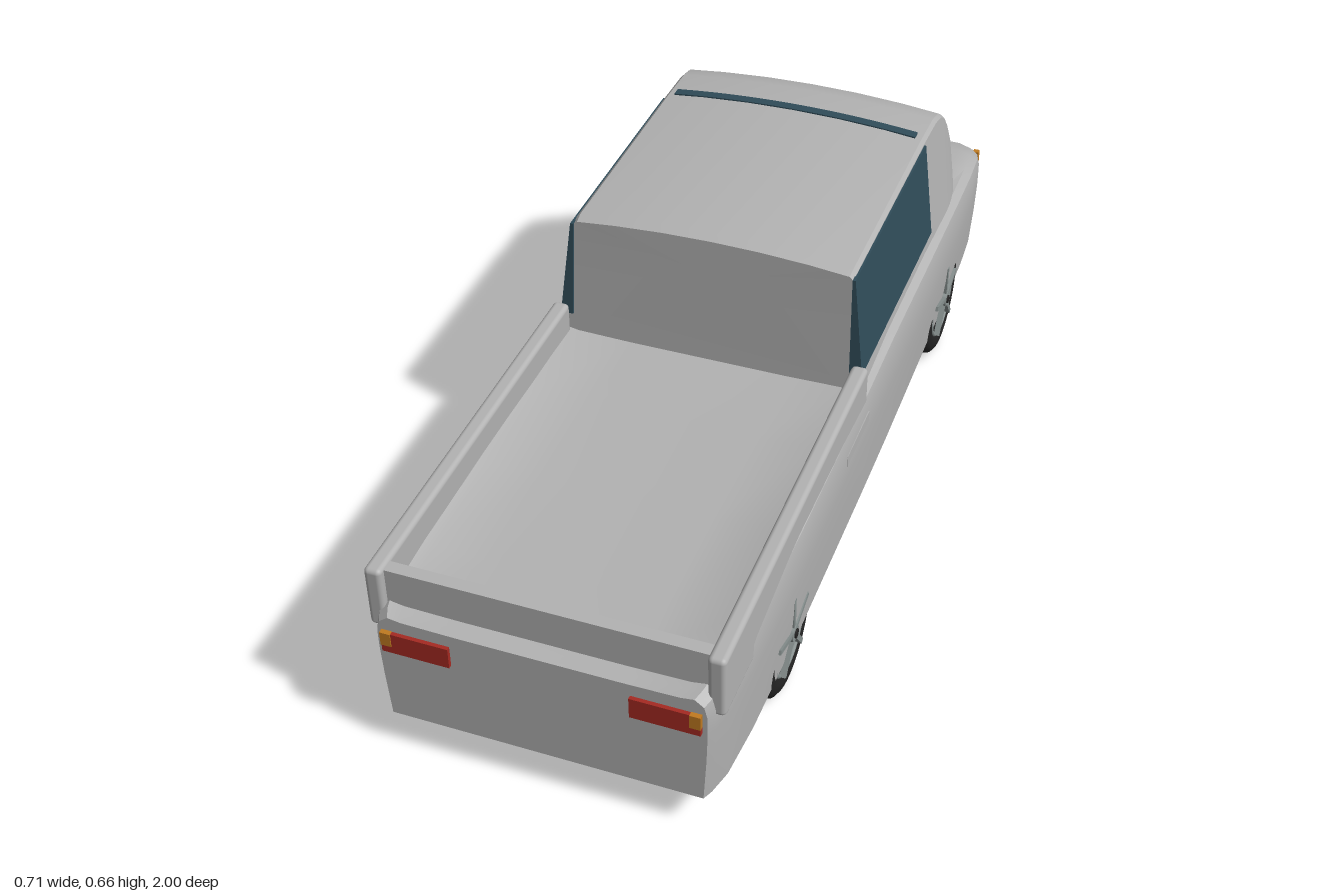
import * as THREE from 'three';
import { toCreasedNormals } from 'three/addons/utils/BufferGeometryUtils.js';
import { RoundedBoxGeometry } from 'three/addons/geometries/RoundedBoxGeometry.js';

const mat = (name, color) => {
  const m = new THREE.MeshStandardMaterial({ color });
  m.name = name;
  return m;
};

// Capped skin through closed rings ordered from -z to +z, each counterclockwise seen from +z
function loft(rings, crease = 0.6) {
  const pos = [];
  const tri = (...pts) => pts.forEach((p) => pos.push(...p));
  const n = rings[0].length;
  for (let i = 0; i < rings.length - 1; i++) {
    for (let j = 0; j < n; j++) {
      const k = (j + 1) % n;
      const [a, b, c, d] = [rings[i][j], rings[i][k], rings[i + 1][k], rings[i + 1][j]];
      tri(a, b, c);
      tri(a, c, d);
    }
  }
  const cap = (ring, flip) => {
    const c = [0, 1, 2].map((q) => ring.reduce((s, p) => s + p[q], 0) / n);
    for (let j = 0; j < n; j++) {
      const k = (j + 1) % n;
      if (flip) tri(c, ring[k], ring[j]);
      else tri(c, ring[j], ring[k]);
    }
  };
  cap(rings[0], true);
  cap(rings[rings.length - 1], false);
  const g = new THREE.BufferGeometry();
  g.setAttribute('position', new THREE.Float32BufferAttribute(pos, 3));
  return toCreasedNormals(g, crease);
}

// Full ring from its +x half, listed from the bottom up to the centre line
const mirrorRing = (half) => [...half, ...half.slice(0, -1).reverse().map(([x, y, z]) => [-x, y, z])];

export function createModel() {
  const paint = mat('body paint', 0xb2b2b2);
  const glass = mat('window glass', 0x304c59);
  const red = mat('red lens', 0xa52a22);
  const amber = mat('amber lens', 0xc07a20);
  const rubber = mat('tyre rubber', 0x242424);
  const metal = mat('wheel metal', 0x87908f);

  const model = new THREE.Group();
  model.name = 'pickupTruck';
  const add = (name, geo, material, parent = model, x = 0, y = 0, z = 0) => {
    const m = new THREE.Mesh(geo, material);
    m.name = name;
    m.position.set(x, y, z);
    parent.add(m);
    return m;
  };

  // Lower body: z, half width at the waist, half width at the sill, shoulder height, centre height
  const bodyStations = [
    [-0.99, 0.315, 0.308, 0.3, 0.315],
    [-0.96, 0.326, 0.318, 0.322, 0.335],
    [-0.9, 0.338, 0.328, 0.342, 0.352],
    [-0.8, 0.347, 0.334, 0.36, 0.37],
    [-0.65, 0.352, 0.337, 0.373, 0.375],
    [-0.4, 0.354, 0.34, 0.38, 0.375],
    [-0.1, 0.353, 0.344, 0.38, 0.37],
    [0.1, 0.351, 0.345, 0.368, 0.36],
    [0.3, 0.353, 0.345, 0.375, 0.357],
    [0.55, 0.354, 0.345, 0.38, 0.355],
    [0.8, 0.348, 0.341, 0.37, 0.35],
    [0.92, 0.339, 0.333, 0.357, 0.348],
    [0.97, 0.328, 0.32, 0.349, 0.342],
    [0.99, 0.32, 0.311, 0.343, 0.337],
  ];
  add('body', loft(bodyStations.map(([z, w, sill, ys, yc]) => mirrorRing([
    [sill, 0.09, z],
    [sill + (w - sill) * 0.7, 0.19, z],
    [w, 0.26, z],
    [w, ys - 0.04, z],
    [w - 0.006, ys - 0.014, z],
    [w - 0.024, ys, z],
    [w * 0.84, ys + (yc - ys) * 0.7, z],
    [w * 0.5, yc, z],
    [0, yc, z],
  ]))), paint);

  // Cabin: z, roof edge height, half width at the base, crown height
  const cabinStations = [
    [-0.79, 0.355, 0.285, 0.012],
    [-0.77, 0.385, 0.3, 0.015],
    [-0.73, 0.445, 0.316, 0.017],
    [-0.69, 0.51, 0.327, 0.018],
    [-0.65, 0.572, 0.333, 0.018],
    [-0.625, 0.604, 0.335, 0.018],
    [-0.595, 0.625, 0.336, 0.018],
    [-0.55, 0.635, 0.336, 0.018],
    [-0.45, 0.638, 0.336, 0.018],
    [0.08, 0.637, 0.336, 0.018],
    [0.1, 0.631, 0.334, 0.017],
  ];
  const lean = (z, y) => (z > 0 ? z - 0.06 * (y - 0.36) : z);
  add('cabin', loft(cabinStations.map(([z, top, base, crown]) => {
    const t = top - 0.34;
    const w = base - 0.115 * t;
    return mirrorRing([
      [base, 0.34, z],
      [base - 0.115 * t * 0.5, 0.34 + t * 0.5, lean(z, 0.34 + t * 0.5)],
      [w, top - 0.008, lean(z, top)],
      [w - 0.008, top, lean(z, top)],
      [w * 0.7, top + crown * 0.5, lean(z, top)],
      [w * 0.35, top + crown * 0.88, lean(z, top)],
      [0, top + crown, lean(z, top)],
    ]);
  }), 0.45), paint);

  // Side windows, wrapping round the rear corners of the cabin
  for (const s of [1, -1]) {
    const ring = (z) => {
      const r = [[0.305, 0.405], [0.3325, 0.405], [0.3065, 0.627], [0.3, 0.627]]
        .map(([x, y]) => [s * x, y, lean(z, y)]);
      return s > 0 ? r : r.reverse();
    };
    add(s > 0 ? 'leftWindow' : 'rightWindow', loft([ring(-0.45), ring(0.104)], 0.1), glass);
  }

  // Narrow glass strip following the roof crown
  const strip = new THREE.BoxGeometry(0.56, 0.006, 0.022, 12, 1, 1);
  const sp = strip.attributes.position;
  for (let i = 0; i < sp.count; i++) {
    sp.setY(i, sp.getY(i) + 0.6555 - 0.018 * (sp.getX(i) / 0.3) ** 2);
  }
  strip.computeVertexNormals();
  add('roofStrip', strip, glass, model, 0, 0, -0.462);

  // Load bed walls
  for (const s of [1, -1]) {
    const side = s > 0 ? 'left' : 'right';
    add(side + 'BedRail', new RoundedBoxGeometry(0.035, 0.138, 0.87, 3, 0.01), paint, model, s * 0.329, 0.362, 0.535);
    add(side + 'SideTrim', new THREE.BoxGeometry(0.006, 0.025, 0.155), paint, model, s * 0.3505, 0.308, 0.182);
  }
  add('tailgate', new THREE.BoxGeometry(0.63, 0.125, 0.026), paint, model, 0, 0.3625, 0.942);

  // Lights at both ends
  for (const s of [1, -1]) {
    const side = s > 0 ? 'left' : 'right';
    add(side + 'TailLight', new THREE.BoxGeometry(0.135, 0.047, 0.009), red, model, s * 0.2425, 0.2865, 0.9935);
    add(side + 'TailSignal', new THREE.BoxGeometry(0.021, 0.031, 0.01), amber, model, s * 0.3, 0.2955, 0.995);
    add(side + 'EndPanelLight', new THREE.BoxGeometry(0.135, 0.042, 0.008), paint, model, s * 0.238, 0.275, -0.993);
    add(side + 'EndSignal', new THREE.BoxGeometry(0.014, 0.044, 0.014), amber, model, s * 0.31, 0.275, -0.993);
  }

  // Wheels, built with the outer side toward +x
  const tyreProfile = [
    [0.09, -0.034], [0.105, -0.04], [0.122, -0.038], [0.133, -0.03], [0.137, -0.015],
    [0.137, 0.015], [0.133, 0.03], [0.122, 0.038], [0.105, 0.04], [0.09, 0.034], [0.09, -0.034],
  ].map(([r, h]) => new THREE.Vector2(r, h));
  const tyreGeo = toCreasedNormals(new THREE.LatheGeometry(tyreProfile, 40).rotateZ(-Math.PI / 2), 0.7);
  const rimGeo = new THREE.TorusGeometry(0.089, 0.005, 8, 40).rotateY(Math.PI / 2);
  const hubGeo = new THREE.CylinderGeometry(0.018, 0.022, 0.05, 20).rotateZ(-Math.PI / 2);
  const capGeo = new THREE.CylinderGeometry(0.01, 0.01, 0.006, 16).rotateZ(-Math.PI / 2);
  const spokeGeo = new THREE.BoxGeometry(0.012, 0.078, 0.011).translate(0.041, 0.051, 0);
  for (const z of [0.585, -0.58]) {
    for (const s of [1, -1]) {
      const wheel = new THREE.Group();
      wheel.name = (z > 0 ? 'bed' : 'cab') + (s > 0 ? 'LeftWheel' : 'RightWheel');
      wheel.position.set(s * 0.305, 0.137, z);
      if (s < 0) wheel.rotation.y = Math.PI;
      model.add(wheel);
      add('tyre', tyreGeo, rubber, wheel);
      add('rim', rimGeo, metal, wheel, 0.034);
      add('hub', hubGeo, metal, wheel, 0.024);
      add('hubCap', capGeo, rubber, wheel, 0.049);
      for (let i = 0; i < 5; i++) {
        add('spoke', spokeGeo, metal, wheel).rotation.x = (i * Math.PI * 2) / 5;
      }
    }
  }
  return model;
}
